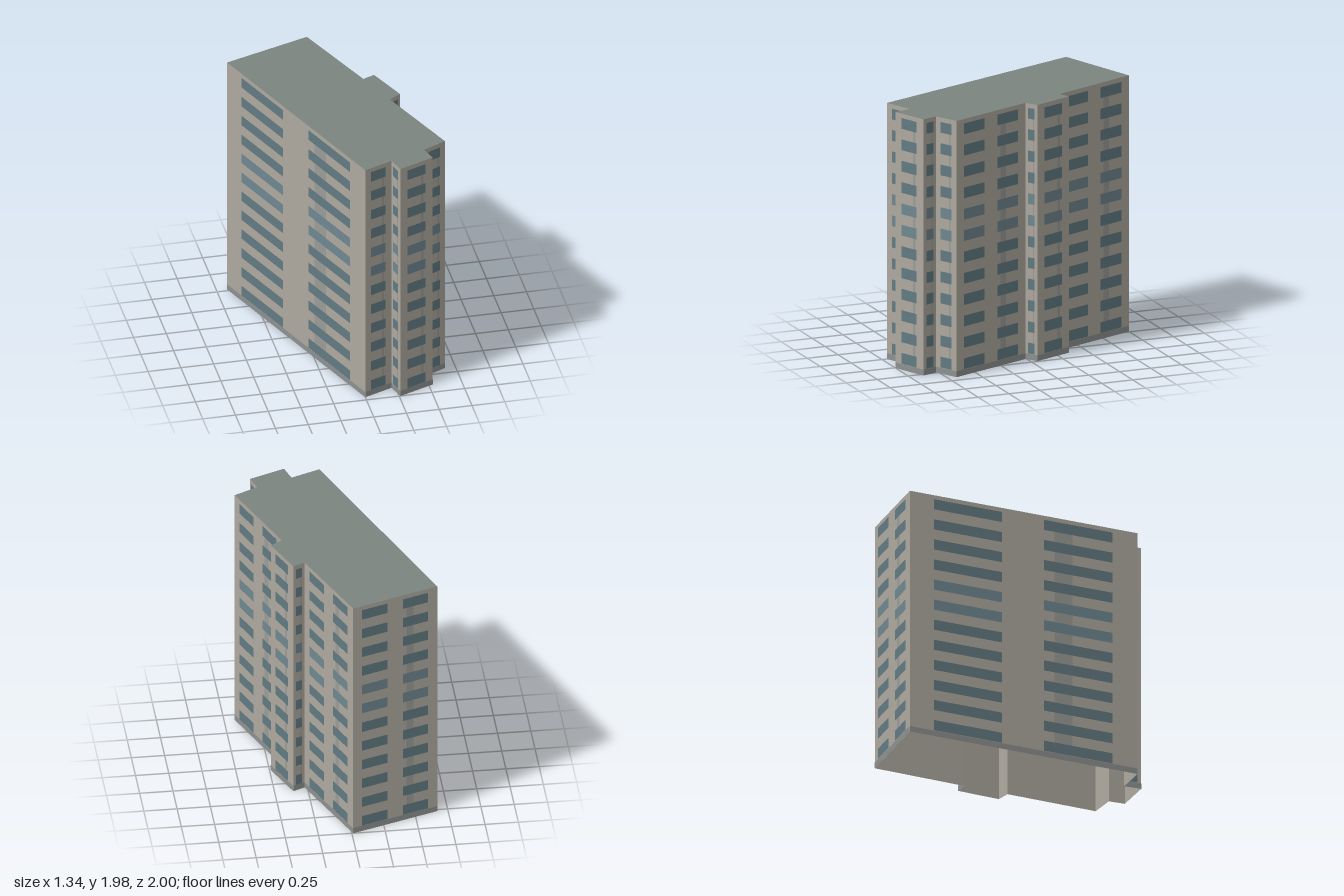
import * as THREE from 'three';

const HEIGHT = 1.98, FLOORS = 12, STEP = 0.165, BASE = 0.045;

// Footprint corners (x, z), running left to right as seen from outside
const FOOTPRINT = [
  [-0.67, -0.77], [0, 0.96], [0.22, 0.87], [0.26, 1], [0.53, 0.89], [0.49, 0.77],
  [0.67, 0.68], [0.4, 0.01], [0.49, -0.05], [0.36, -0.36], [0.27, -0.32], [-0.01, -1],
];

const paint = (color, side = THREE.FrontSide) => new THREE.MeshStandardMaterial({ color, side });

export function createModel() {
  const wallMat = paint(0xaea99f, THREE.DoubleSide);
  const roofMat = paint(0x7c8480, THREE.DoubleSide);
  const baseMat = paint(0x8d9190);
  const stripMat = paint(0x9b9b97);
  const glassMat = paint(0x627b82);
  const paleGlassMat = paint(0x6f8790);

  const model = new THREE.Group();
  model.name = 'apartmentBlock';

  // Flat rectangle in a wall's own frame: x along the wall, z outwards
  function panel(parent, name, material, x0, x1, y0, y1, z) {
    const mesh = new THREE.Mesh(new THREE.PlaneGeometry(x1 - x0, y1 - y0), material);
    mesh.position.set((x0 + x1) / 2, (y0 + y1) / 2, z);
    mesh.name = name;
    parent.add(mesh);
  }

  // Walls with plinth band, vertical strip and rows of windows
  FOOTPRINT.forEach(([ax, az], i) => {
    const [bx, bz] = FOOTPRINT[(i + 1) % FOOTPRINT.length];
    const length = Math.hypot(bx - ax, bz - az);
    const wall = new THREE.Group();
    wall.name = `wall${i + 1}`;
    wall.position.set(ax, 0, az);
    wall.rotation.y = Math.atan2(az - bz, bx - ax);
    model.add(wall);

    panel(wall, 'wallFace', wallMat, 0, length, 0, HEIGHT, 0);
    panel(wall, 'plinthBand', baseMat, 0, length, 0, BASE, 0.001);
    panel(wall, 'verticalStrip', stripMat, 0.635 * length, 0.715 * length, BASE, 1.9, 0.001);

    // Long walls carry two windows per floor, short walls one
    const columns = length > 0.6 ? [[0.105, 0.405], [0.59, 0.89]] : [[0.22, 0.77]];
    for (let floor = 0; floor < FLOORS; floor++) {
      const y = 0.048 + floor * STEP;
      const glass = floor === 7 || floor === 6 ? paleGlassMat : glassMat;
      for (const [f0, f1] of columns) {
        panel(wall, 'window', glass, f0 * length, f1 * length, y, y + 0.083, 0.002);
      }
    }
  });

  // Flat roof; the underside stays open
  const outline = new THREE.Shape(FOOTPRINT.map(([x, z]) => new THREE.Vector2(x, -z)));
  const roof = new THREE.Mesh(new THREE.ShapeGeometry(outline), roofMat);
  roof.rotation.x = -Math.PI / 2;
  roof.position.y = HEIGHT;
  roof.name = 'roof';
  model.add(roof);

  return model;
}
